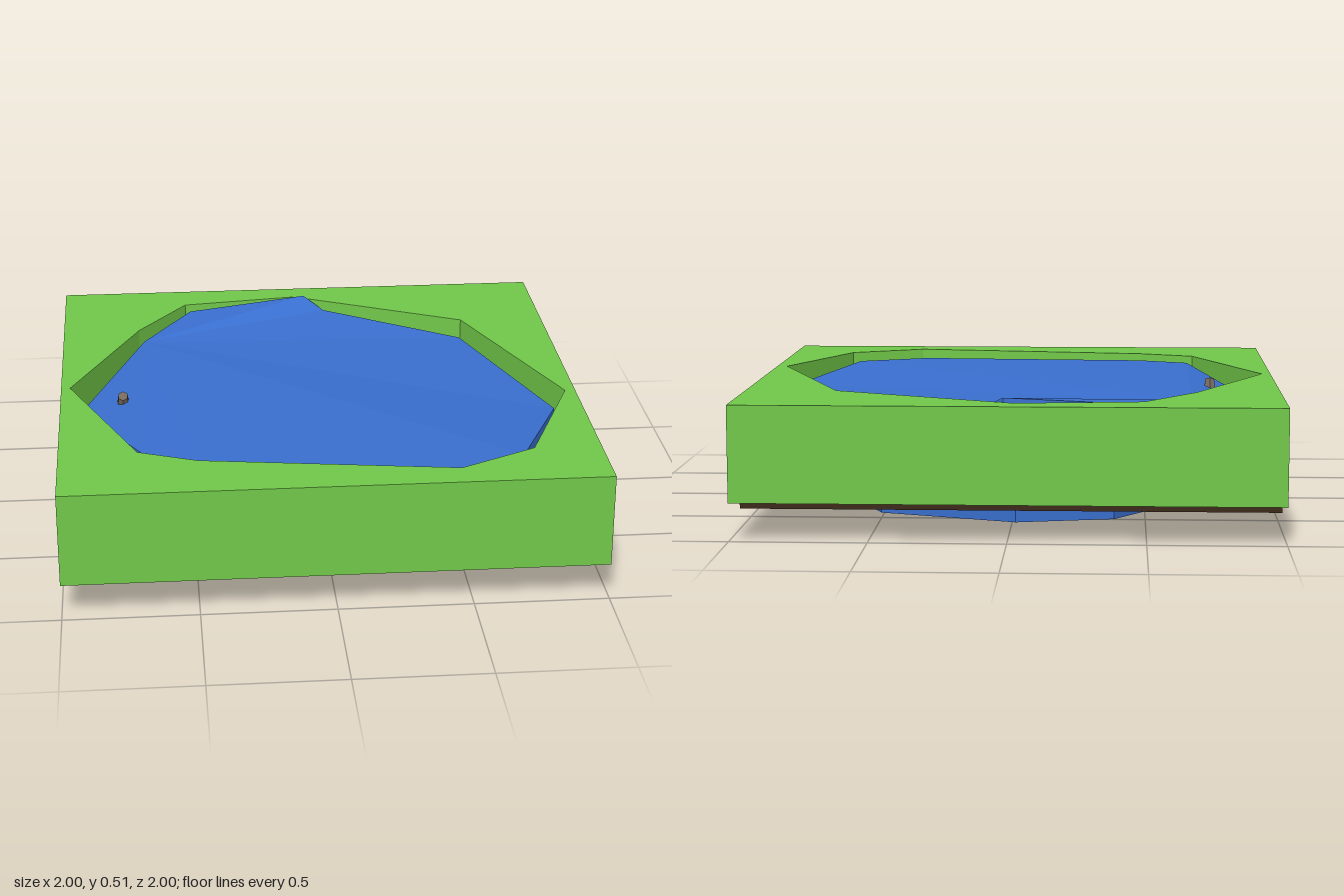
import * as THREE from 'three';

// pond outline as [x, z], clockwise from above
const OUTLINE = [
  [-0.69, -0.56], [-0.49, -0.84], [-0.02, -0.90], [0.10, -0.842], [0.66, -0.57], [0.96, 0.21],
  [0.75, 0.73], [0.46, 0.88], [-0.49, 0.74], [-0.71, 0.65], [-0.965, 0.03],
];
// water surface corners as [x, y, z], matching the outline
const SURFACE = [
  [-0.67, 0.46, -0.52], [-0.47, 0.48, -0.80], [0.02, 0.51, -0.87], [0.10, 0.465, -0.81],
  [0.65, 0.43, -0.535], [0.92, 0.42, 0.21], [0.715, 0.46, 0.715], [0.44, 0.46, 0.845],
  [-0.49, 0.47, 0.705], [-0.685, 0.47, 0.62], [-0.925, 0.39, 0.03],
];

const mat = (color) => new THREE.MeshStandardMaterial({ color, flatShading: true });

// outline scaled and shifted into a narrower ring of [x, z]
const scaled = (s, dx = 0, dz = 0) => OUTLINE.map(([x, z]) => [x * s + dx, z * s + dz]);

// rectangular slab, open in the middle, with its top at the given height
function slab(name, color, [x0, x1, z0, z1], hole, top, depth) {
  const shape = new THREE.Shape([[x0, z0], [x1, z0], [x1, z1], [x0, z1]].map((p) => new THREE.Vector2(...p)));
  shape.holes.push(new THREE.Path(hole.map((p) => new THREE.Vector2(...p))));
  const geo = new THREE.ExtrudeGeometry(shape, { depth, bevelEnabled: false });
  geo.rotateX(Math.PI / 2);
  const mesh = new THREE.Mesh(geo, mat(color));
  mesh.name = name;
  mesh.position.y = top;
  return mesh;
}

// closed body lofted through rings, capped by fans from the first corner
function loft(rings) {
  const n = rings[0].length;
  const index = [];
  for (let r = 0; r < rings.length - 1; r++) {
    for (let i = 0; i < n; i++) {
      const j = (i + 1) % n;
      const a = r * n + i, b = r * n + j, c = a + n, d = b + n;
      index.push(a, b, d, a, d, c);
    }
  }
  const last = (rings.length - 1) * n;
  for (let i = 1; i < n - 1; i++) {
    index.push(0, i + 1, i);
    index.push(last, last + i, last + i + 1);
  }
  const geo = new THREE.BufferGeometry();
  geo.setAttribute('position', new THREE.Float32BufferAttribute(rings.flat(2), 3));
  geo.setIndex(index);
  const flat = geo.toNonIndexed();
  flat.computeVertexNormals();
  return flat;
}

// small faceted stone
function stone(name, [x, y, z], [w, h, d], tilt) {
  const geo = new THREE.CylinderGeometry(0.36, 0.5, 1, 6).scale(w, h, d);
  const mesh = new THREE.Mesh(geo, mat(0x75695c));
  mesh.name = name;
  mesh.position.set(x, y, z);
  mesh.rotation.x = tilt;
  return mesh;
}

export function createModel() {
  const group = new THREE.Group();
  group.name = 'pondTile';

  // grass block and the thin earth layer beneath it
  group.add(slab('grassBlock', 0x72c94a, [-1, 1, -1, 1], OUTLINE, 0.495, 0.355));
  const neck = scaled(0.775, -0.005, -0.04);
  group.add(slab('earthLayer', 0x3d2a1c, [-0.98, 0.96, -0.98, 0.915], neck, 0.14, 0.022));

  // water: flared upper body resting on the earth, narrow lower body below
  const lip = scaled(0.978).map(([x, z]) => [x, 0.16, z]);
  const neckRing = neck.map(([x, z]) => [x, 0.14, z]);
  const floor = scaled(0.77, -0.005, -0.04).map(([x, z]) =>
    [x, Math.max(0, 0.018 - 0.02 * x - 0.015 * z), z]);
  const water = new THREE.Mesh(loft([SURFACE, lip, neckRing, floor]), mat(0x3a6fd0));
  water.name = 'water';
  group.add(water);

  // stones at the water's edge
  group.add(stone('stone', [-0.76, 0.44, 0.05], [0.055, 0.06, 0.07], 0.4));
  group.add(stone('edgeStone', [-0.925, 0.40, 0.075], [0.04, 0.06, 0.1], 0.4));

  return group;
}
